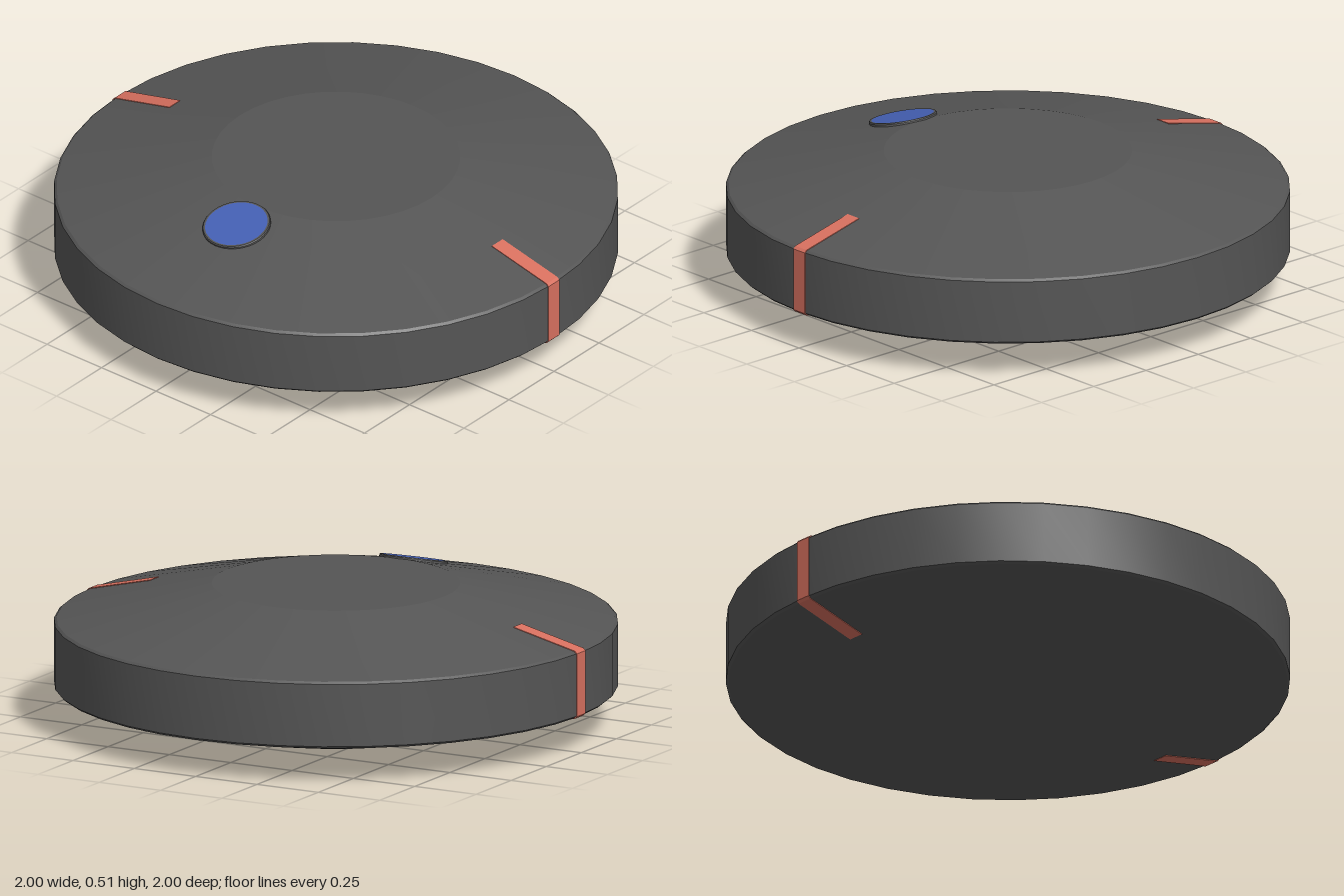
import * as THREE from 'three';
import { toCreasedNormals } from 'three/addons/utils/BufferGeometryUtils.js';

const paint = (color) => new THREE.MeshStandardMaterial({ color });
const points = (list) => list.map(([x, y]) => new THREE.Vector2(x, y));

export function createModel() {
  const model = new THREE.Group();
  model.name = 'disc';
  const dark = paint(0x555555);
  const red = paint(0xd8705f);
  const blue = paint(0x4560b5);

  const add = (name, geometry, material, parent = model) => {
    const mesh = new THREE.Mesh(geometry, material);
    mesh.name = name;
    parent.add(mesh);
    return mesh;
  };

  // Body: flat faces, shallow cones and an upright rim with a fine bevel
  const profile = points([
    [0, 0], [0.44, 0], [0.99, 0.13], [0.999, 0.138],
    [0.999, 0.364], [0.99, 0.372], [0.44, 0.502], [0, 0.502],
  ]);
  add('body', toCreasedNormals(new THREE.LatheGeometry(profile, 40), 0.2), dark);

  // Stripes: thin bands folded over the rim at front and back
  const band = new THREE.Shape(points([
    [0.74, 0.069], [0.991, 0.128], [1, 0.137],
    [1, 0.365], [0.991, 0.374], [0.74, 0.433],
    [0.74, 0.41], [0.96, 0.35], [0.96, 0.15], [0.74, 0.09],
  ]));
  const stripeGeometry = new THREE.ExtrudeGeometry(band, { depth: 0.06, bevelEnabled: false });
  stripeGeometry.translate(0, 0, -0.03).rotateY(-Math.PI / 2);
  add('frontStripe', stripeGeometry, red);
  add('backStripe', stripeGeometry, red).rotation.y = Math.PI;

  // Button: a coloured disc in a low rim, lying on the upper slope
  const button = new THREE.Group();
  button.name = 'button';
  button.position.set(-0.552, 0.476, 0);
  button.rotation.z = Math.atan2(0.13, 0.55);
  const rim = points([
    [0.122, -0.02], [0.122, 0.004], [0.119, 0.008], [0.112, 0.008], [0.112, -0.02],
  ]);
  add('buttonRim', toCreasedNormals(new THREE.LatheGeometry(rim, 40), 0.5), dark, button);
  const cap = new THREE.CylinderGeometry(0.112, 0.112, 0.028, 40);
  add('buttonCap', cap, blue, button).position.y = -0.006;
  model.add(button);

  return model;
}
